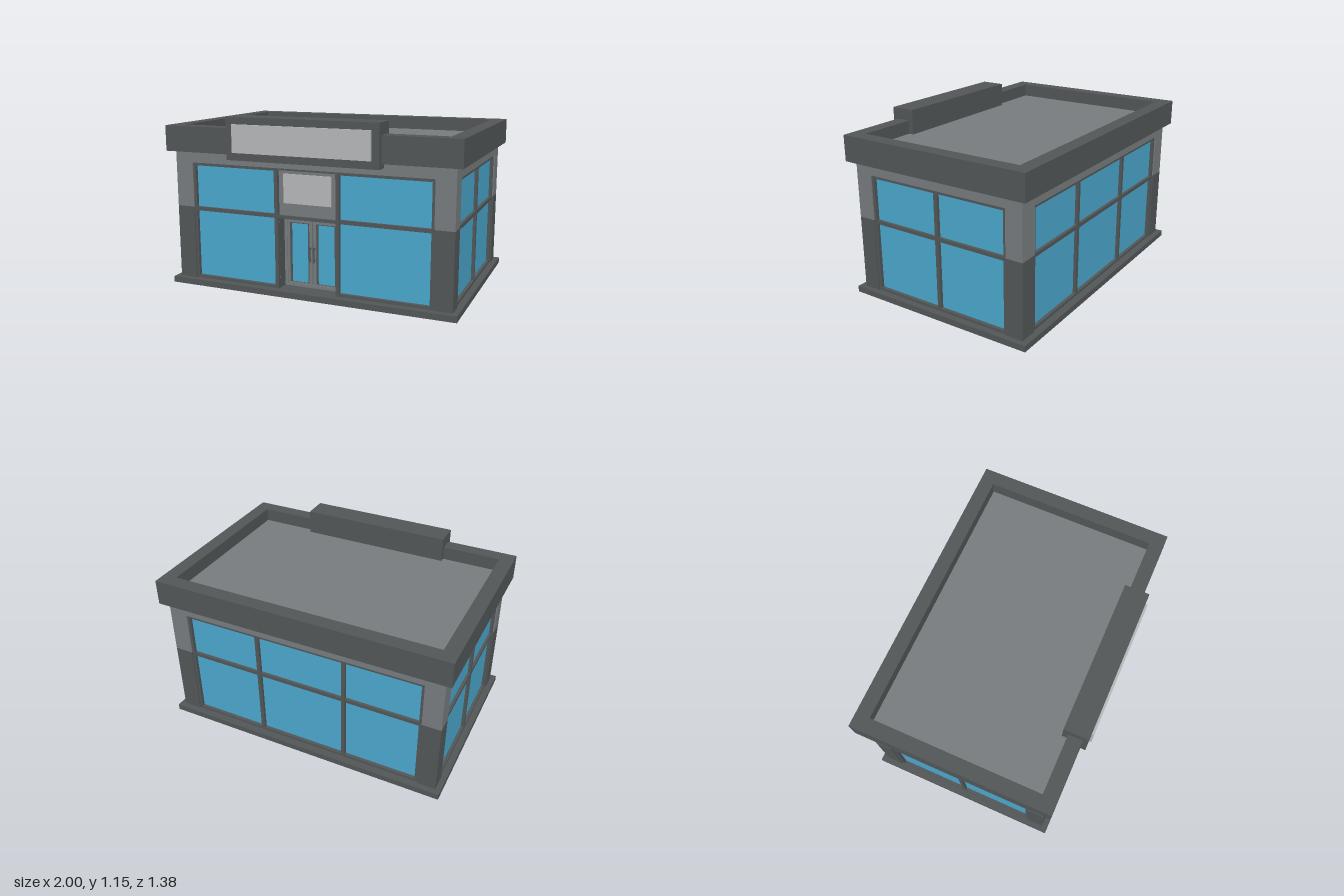
import * as THREE from 'three';

const mat = (name, color) => {
  const m = new THREE.MeshStandardMaterial({ color });
  m.name = name;
  return m;
};

export function createModel() {
  const dark = mat('dark trim', 0x525657);
  const grey = mat('grey wall', 0x777b7d);
  const light = mat('sign face', 0xb5b6b8);
  const glass = mat('window glass', 0x4aa6cc);

  const CZ = -0.025;           // centre of the building in z
  const WX = 0.955, WZ = 0.62; // wall half sizes
  const model = new THREE.Group();
  model.name = 'shop';

  // Box given by its limits
  const box = (parent, name, material, x0, x1, y0, y1, z0, z1) => {
    const mesh = new THREE.Mesh(new THREE.BoxGeometry(x1 - x0, y1 - y0, z1 - z0), material);
    mesh.position.set((x0 + x1) / 2, (y0 + y1) / 2, (z0 + z1) / 2);
    mesh.name = name;
    parent.add(mesh);
    return mesh;
  };

  // Rectangular frame in the xy plane, made of four bars
  const frame = (parent, name, material, x0, x1, y0, y1, t, z0, z1) => {
    const g = new THREE.Group();
    g.name = name;
    box(g, 'leftBar', material, x0, x0 + t, y0, y1, z0, z1);
    box(g, 'rightBar', material, x1 - t, x1, y0, y1, z0, z1);
    box(g, 'bottomBar', material, x0 + t, x1 - t, y0, y0 + t, z0, z1);
    box(g, 'topBar', material, x0 + t, x1 - t, y1 - t, y1, z0, z1);
    parent.add(g);
  };

  // Horizontal ring with a rectangular hole
  const ring = (name, material, hx, hz, ix, iz, y0, y1) => {
    const rect = (T, a, b) => new T().moveTo(-a, -b).lineTo(a, -b).lineTo(a, b).lineTo(-a, b).closePath();
    const shape = rect(THREE.Shape, hx, hz);
    shape.holes.push(rect(THREE.Path, ix, iz));
    const geo = new THREE.ExtrudeGeometry(shape, { depth: y1 - y0, bevelEnabled: false });
    geo.rotateX(-Math.PI / 2);
    const mesh = new THREE.Mesh(geo, material);
    mesh.position.set(0, y0, CZ);
    mesh.name = name;
    model.add(mesh);
  };

  // Window wall, wall plane at local z = 0, facing +z
  const glazing = (name, width, columns, x, z, turn) => {
    const g = new THREE.Group();
    g.name = name;
    const h = width / 2;
    box(g, 'panes', glass, -h, h, 0.04, 0.835, -0.038, -0.03);
    frame(g, 'windowFrame', dark, -h, h, 0.04, 0.835, 0.019, -0.05, -0.008);
    box(g, 'transom', dark, -h + 0.019, h - 0.019, 0.51, 0.535, -0.05, -0.011);
    for (let i = 1; i < columns; i++) {
      // Outer columns are a little narrower than the middle one
      const mx = columns === 3 ? (i === 1 ? -0.305 : 0.305) : 0;
      box(g, 'mullion', dark, mx - 0.013, mx + 0.013, 0.059, 0.816, -0.05, -0.01);
    }
    g.position.set(x, 0, z);
    g.rotation.y = turn;
    model.add(g);
  };

  // Base plinth
  box(model, 'base', dark, -0.99, 0.99, 0, 0.04, CZ - 0.66, CZ + 0.66);

  // Corner piers in two tones
  for (const sx of [-1, 1]) for (const sz of [-1, 1]) {
    const xs = [sx * 0.83, sx * WX].sort((a, b) => a - b);
    const zs = [CZ + sz * 0.505, CZ + sz * WZ].sort((a, b) => a - b);
    box(model, 'pierLower', dark, ...xs, 0.04, 0.535, ...zs);
    box(model, 'pierUpper', grey, ...xs, 0.535, 0.835, ...zs);
  }

  // Wall band over the windows, parapet and roof
  ring('wallHeader', grey, WX, WZ, 0.83, 0.505, 0.835, 0.91);
  ring('parapet', dark, 1, 0.665, 0.905, 0.57, 0.91, 1.08);
  box(model, 'roof', grey, -0.905, 0.905, 0.91, 0.99, CZ - 0.57, CZ + 0.57);

  // Window walls
  const FZ = CZ + WZ;
  glazing('frontWindowRight', 0.63, 1, -0.515, FZ, 0);
  glazing('frontWindowLeft', 0.63, 1, 0.515, FZ, 0);
  glazing('leftWindows', 1.01, 2, WX, CZ, Math.PI / 2);
  glazing('rightWindows', 1.01, 2, -WX, CZ, -Math.PI / 2);
  glazing('backWindows', 1.66, 3, 0, CZ - WZ, Math.PI);

  // Entrance bay: jambs, lintel and panel above the recessed doors
  const entrance = new THREE.Group();
  entrance.name = 'entrance';
  model.add(entrance);
  for (const s of [-1, 1]) {
    box(entrance, 'jamb', dark, s * 0.2125 - 0.0125, s * 0.2125 + 0.0125, 0.04, 0.835, 0.46, FZ - 0.006);
  }
  box(entrance, 'lintel', dark, -0.2, 0.2, 0.51, 0.53, 0.46, FZ - 0.011);
  box(entrance, 'overDoorPanel', grey, -0.2, 0.2, 0.53, 0.825, 0.53, 0.567);
  box(entrance, 'overDoorTrim', dark, -0.2, 0.2, 0.822, 0.835, 0.53, FZ - 0.008);
  box(entrance, 'smallSign', light, -0.165, 0.165, 0.61, 0.8, 0.567, 0.575);

  // Double doors
  frame(entrance, 'doorFrame', grey, -0.2, 0.2, 0.04, 0.51, 0.02, 0.46, 0.5);
  for (const s of [-1, 1]) {
    const door = new THREE.Group();
    door.name = s < 0 ? 'rightDoor' : 'leftDoor';
    door.position.x = s * 0.094;
    frame(door, 'doorLeaf', grey, -0.09, 0.09, 0.046, 0.49, 0.02, 0.465, 0.495);
    frame(door, 'doorGlassTrim', dark, -0.07, 0.07, 0.056, 0.475, 0.011, 0.465, 0.491);
    box(door, 'doorGlass', glass, -0.07, 0.07, 0.05, 0.48, 0.474, 0.482);
    // Pull handle on two studs
    const hx = -s * 0.08;
    box(door, 'handle', dark, hx - 0.005, hx + 0.005, 0.215, 0.32, 0.51, 0.52);
    for (const y of [0.23, 0.305]) box(door, 'handleStud', dark, hx - 0.004, hx + 0.004, y - 0.004, y + 0.004, 0.494, 0.511);
    entrance.add(door);
  }
  box(entrance, 'doorBacking', dark, -0.2, 0.2, 0.04, 0.51, 0.45, 0.465);

  // Roof sign
  box(model, 'signBox', dark, -0.515, 0.515, 0.88, 1.155, 0.51, 0.675);
  box(model, 'signFace', light, -0.465, 0.465, 0.93, 1.11, 0.675, 0.69);

  return model;
}
